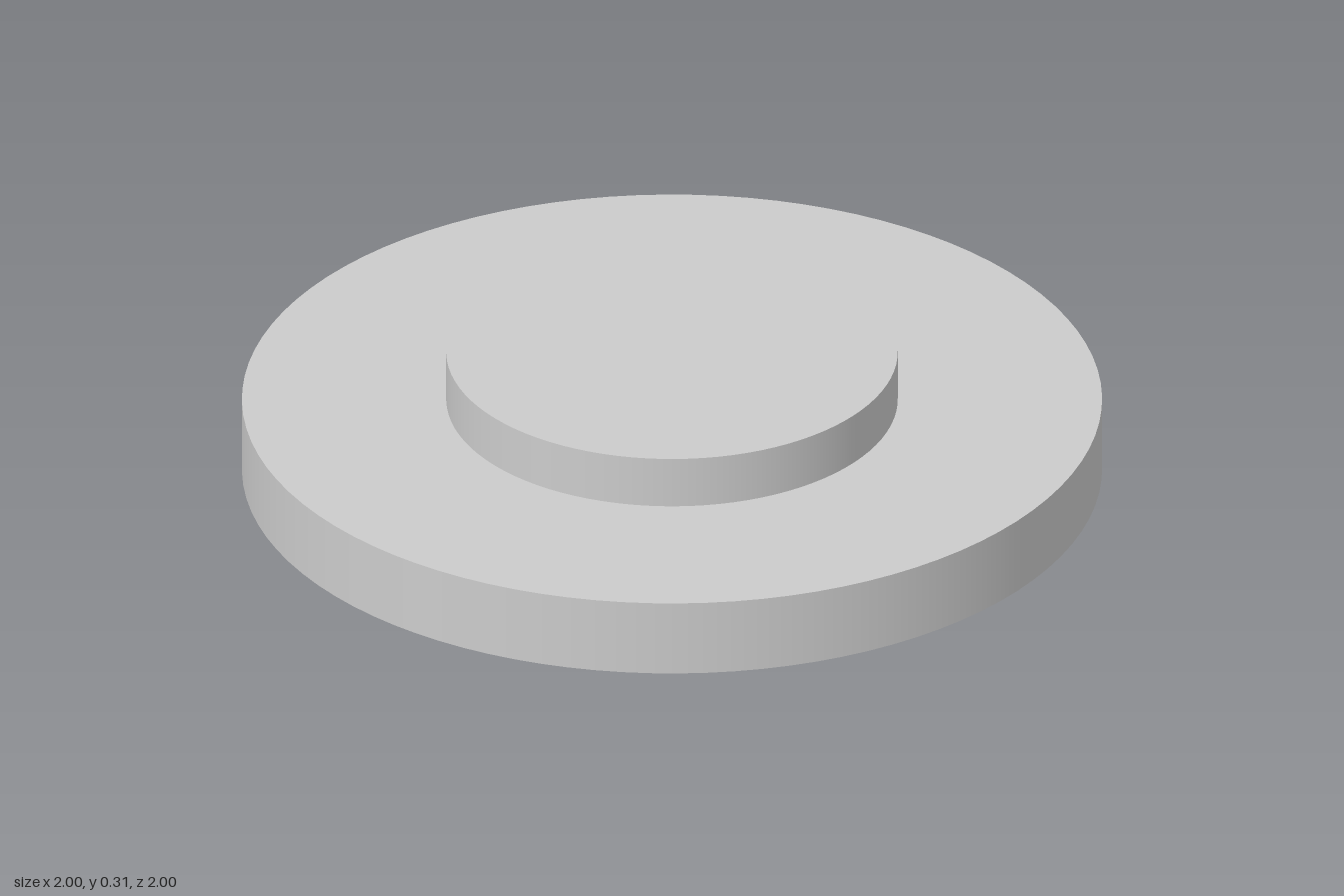
import * as THREE from 'three';

const SEGMENTS = 96;

export function createModel() {
  const group = new THREE.Group();
  group.name = 'steppedDisc';
  const material = new THREE.MeshStandardMaterial({ color: 0xcccccc });

  // Upright disc standing between two heights
  function addDisc(name, radius, bottom, top) {
    const geometry = new THREE.CylinderGeometry(radius, radius, top - bottom, SEGMENTS);
    const disc = new THREE.Mesh(geometry, material);
    disc.name = name;
    disc.position.y = (bottom + top) / 2;
    group.add(disc);
  }

  // Wide base plate with a smaller raised boss on top
  addDisc('basePlate', 1, 0, 0.185);
  addDisc('raisedBoss', 0.525, 0.185, 0.31);

  return group;
}
